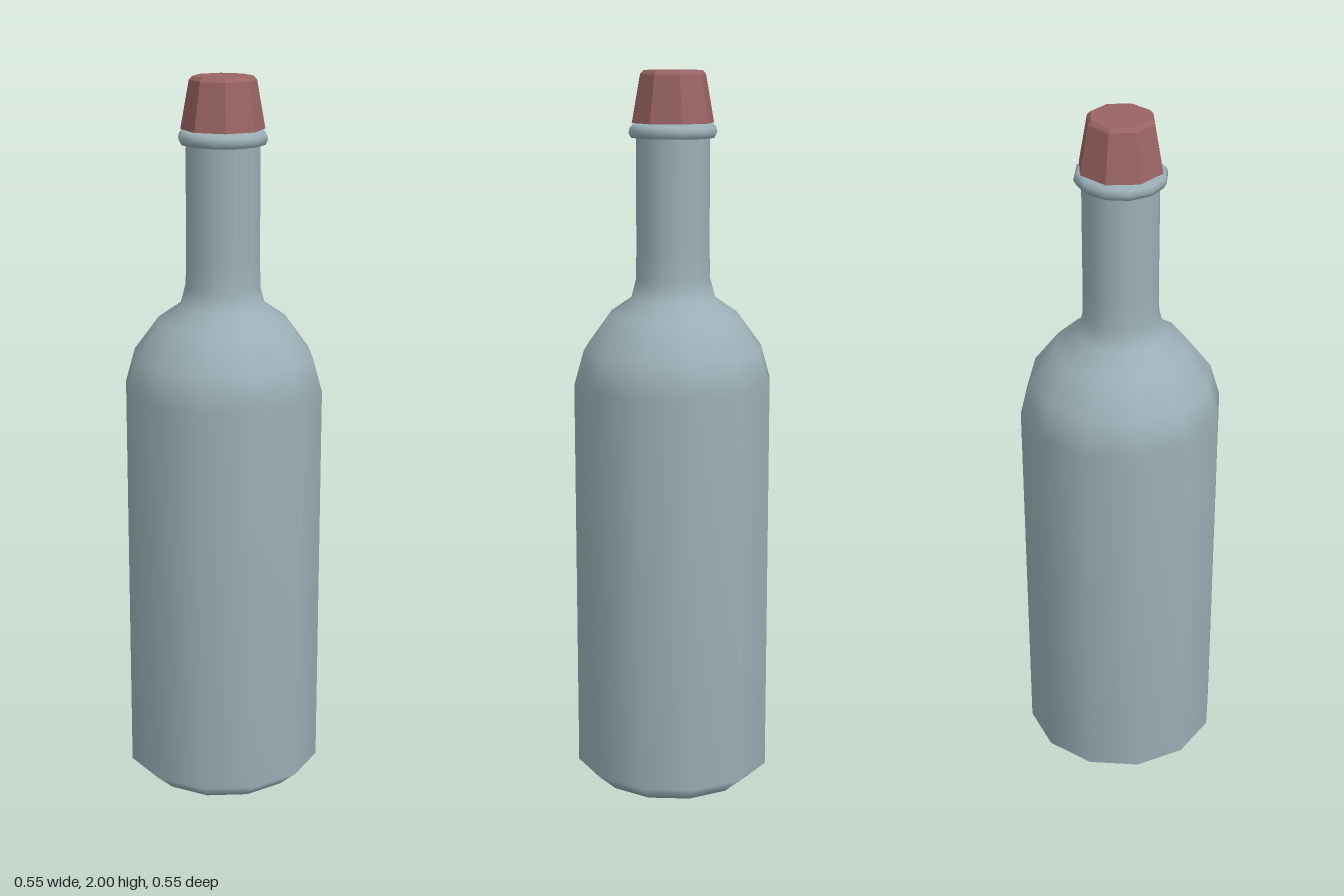
import * as THREE from 'three';

const turn = (name, profile, sides, material) => {
  const points = profile.map(([r, y]) => new THREE.Vector2(r, y));
  const mesh = new THREE.Mesh(new THREE.LatheGeometry(points, sides), material);
  mesh.name = name;
  return mesh;
};

export function createModel() {
  const model = new THREE.Group();
  model.name = 'bottle';
  const glass = new THREE.MeshStandardMaterial({ color: 0x9bb0b7 });
  const stopper = new THREE.MeshStandardMaterial({ color: 0x9a6464, flatShading: true });

  // Twelve-sided body: base, straight wall, rounded shoulder and neck
  model.add(turn('body', [
    [0, 0], [0.22, 0.004], [0.277, 0.055], [0.277, 1.155], [0.25, 1.25],
    [0.18, 1.345], [0.118, 1.388], [0.104, 1.44], [0.102, 1.52], [0.102, 1.825],
  ], 12, glass));

  // Raised lip around the mouth, closed under the cap
  model.add(turn('lip', [
    [0.1, 1.823], [0.115, 1.823], [0.122, 1.836], [0.119, 1.85], [0.108, 1.861], [0, 1.861],
  ], 12, glass));

  // Eight-sided tapered cap with a small top bevel
  model.add(turn('cap', [
    [0, 1.862], [0.113, 1.862], [0.09, 1.99], [0.081, 2], [0, 2],
  ], 8, stopper));

  return model;
}
